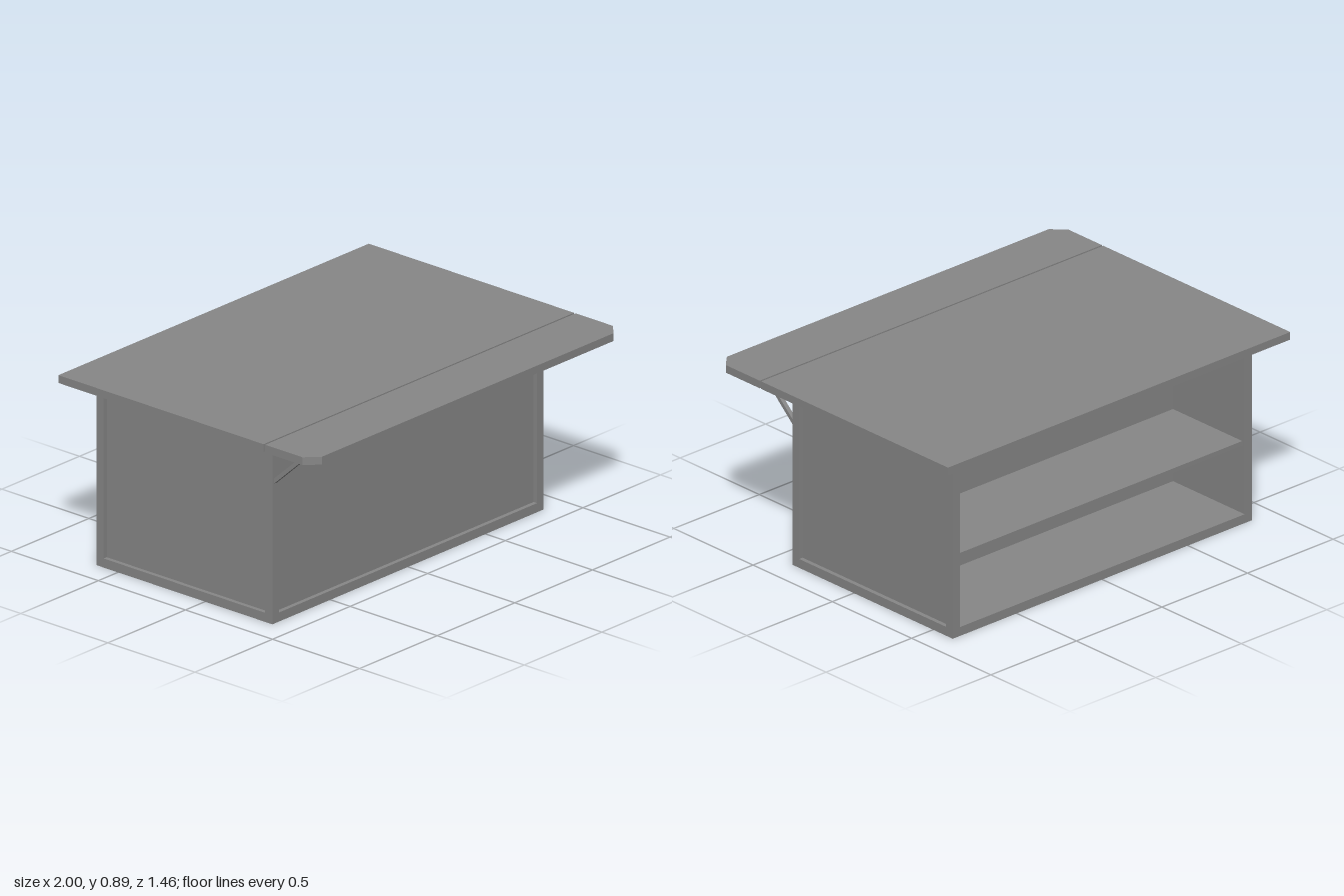
import * as THREE from 'three';

// Cabinet body extents and frame bar thickness
const HALF_W = 0.874, TOP = 0.853, Z_BACK = -0.624, Z_FRONT = 0.387, BAR = 0.042;
const SLAB = 0.036, RECESS = 0.02;

export function createModel() {
  const model = new THREE.Group();
  const material = new THREE.MeshStandardMaterial({ color: 0x878787 });

  const add = (name, geometry, parent = model) => {
    const mesh = new THREE.Mesh(geometry, material);
    mesh.name = name;
    parent.add(mesh);
    return mesh;
  };
  // Box given by its minimum and maximum on each axis
  const box = (name, [x0, x1], [y0, y1], [z0, z1], parent) =>
    add(name, new THREE.BoxGeometry(x1 - x0, y1 - y0, z1 - z0), parent)
      .position.set((x0 + x1) / 2, (y0 + y1) / 2, (z0 + z1) / 2);

  // Square-section frame: posts, cross rails and side rails
  const frame = new THREE.Group();
  frame.name = 'frame';
  model.add(frame);
  const xBars = [[-HALF_W, -HALF_W + BAR], [HALF_W - BAR, HALF_W]];
  const yBars = [[0, BAR], [TOP - BAR, TOP]];
  const zBars = [[Z_BACK, Z_BACK + BAR], [Z_FRONT - BAR, Z_FRONT]];
  const xInner = [-HALF_W + BAR, HALF_W - BAR];
  const yInner = [BAR, TOP - BAR];
  const zInner = [Z_BACK + BAR, Z_FRONT - BAR];
  for (const x of xBars) for (const z of zBars) box('post', x, [0, TOP], z, frame);
  for (const y of yBars) {
    for (const z of zBars) box('crossRail', xInner, y, z, frame);
    for (const x of xBars) box('sideRail', x, y, zInner, frame);
  }

  // Panels set back from the outside, flush with the bars inside; the rear stays open
  box('leftPanel', [HALF_W - BAR, HALF_W - RECESS], yInner, zInner);
  box('rightPanel', [-HALF_W + RECESS, -HALF_W + BAR], yInner, zInner);
  box('frontPanel', xInner, yInner, [Z_FRONT - BAR, Z_FRONT - RECESS]);
  box('floorPanel', xInner, [RECESS, BAR], zInner);
  box('ceilingPanel', xInner, [TOP - BAR, TOP - RECESS], zInner);

  // Inner wall and the shelf in front of it
  box('innerWall', xInner, yInner, [-0.172, -0.152]);
  box('shelf', xInner, [0.364, 0.384], [Z_BACK + 0.015, -0.172]);

  // Worktop slab
  box('worktop', [-1, 1], [TOP, TOP + SLAB], [-0.73, 0.449]);

  // Folding flap with clipped front corners, outlined in x and -z
  const flapShape = new THREE.Shape([
    [-1, -0.458], [-1, -0.672], [-0.94, -0.73],
    [0.94, -0.73], [1, -0.672], [1, -0.458],
  ].map(([x, y]) => new THREE.Vector2(x, y)));
  const flap = new THREE.ExtrudeGeometry(flapShape, { depth: SLAB, bevelEnabled: false });
  flap.rotateX(-Math.PI / 2);
  add('flap', flap).position.y = TOP;

  // Slanted braces under the flap, outlined in z and y
  const braceShape = new THREE.Shape([
    [Z_FRONT, 0.648], [0.612, TOP], [0.588, TOP], [Z_FRONT, 0.672],
  ].map(([z, y]) => new THREE.Vector2(-z, y)));
  for (const side of [-1, 1]) {
    const brace = new THREE.ExtrudeGeometry(braceShape, { depth: 0.02, bevelEnabled: false });
    brace.translate(0, 0, -0.01);
    brace.rotateY(Math.PI / 2);
    add(side > 0 ? 'leftBrace' : 'rightBrace', brace).position.x = side * 0.853;
  }

  return model;
}
